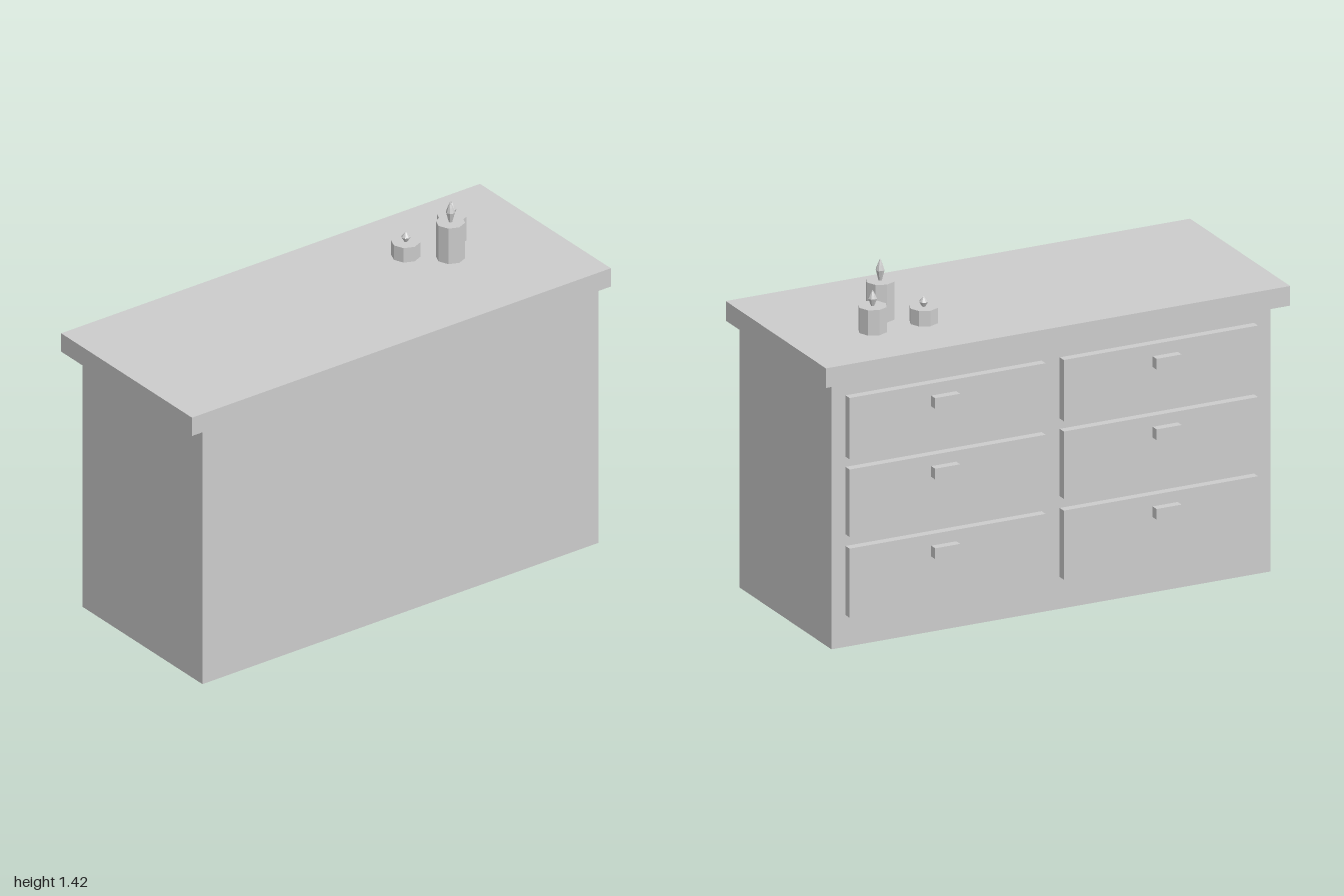
import * as THREE from 'three';

const material = new THREE.MeshStandardMaterial({ color: 0xcccccc, flatShading: true });

// Box given by its lower and upper corners
function box(name, [x0, y0, z0], [x1, y1, z1]) {
  const mesh = new THREE.Mesh(new THREE.BoxGeometry(x1 - x0, y1 - y0, z1 - z0), material);
  mesh.position.set((x0 + x1) / 2, (y0 + y1) / 2, (z0 + z1) / 2);
  mesh.name = name;
  return mesh;
}

// Octagonal candle with a pointed flame
function candle(x, z, height, flameHeight) {
  const group = new THREE.Group();
  group.name = 'candle';
  const wax = new THREE.Mesh(new THREE.CylinderGeometry(0.057, 0.057, height, 8), material);
  wax.name = 'wax';
  wax.position.y = height / 2;

  const profile = [[0, 0], [0.007, 0], [0.018, 0.47], [0.011, 0.7], [0, 1]]
    .map(([r, t]) => new THREE.Vector2(r, t * flameHeight));
  const flame = new THREE.Mesh(new THREE.LatheGeometry(profile, 8), material);
  flame.name = 'flame';
  flame.position.y = height;

  group.add(wax, flame);
  group.position.set(x, 1.18, z);
  return group;
}

export function createModel() {
  const model = new THREE.Group();
  model.name = 'dresser';

  // Carcass and overhanging top
  model.add(box('body', [-0.95, 0, -0.35], [0.94, 1.1, 0.42]));
  model.add(box('top', [-1, 1.1, -0.42], [1, 1.18, 0.42]));

  // Two columns of three drawers: [bottom, top, handle height]
  const rows = [[0.13, 0.412, 0.343], [0.46, 0.735, 0.668], [0.777, 1.027, 0.956]];
  const columns = [[0.035, 0.88, 0.474], [-0.88, -0.043, -0.48]];
  for (const [x0, x1, hx] of columns) {
    for (const [y0, y1, hy] of rows) {
      const drawer = new THREE.Group();
      drawer.name = 'drawer';
      drawer.add(box('drawerFront', [x0, y0, -0.384], [x1, y1, -0.35]));
      drawer.add(box('handle', [hx - 0.054, hy - 0.022, -0.417], [hx + 0.054, hy + 0.022, -0.384]));
      model.add(drawer);
    }
  }

  // Candles on the top
  model.add(candle(0.43, -0.13, 0.063, 0.042));
  model.add(candle(0.56, -0.018, 0.155, 0.09));
  model.add(candle(0.65, -0.13, 0.103, 0.064));

  return model;
}
